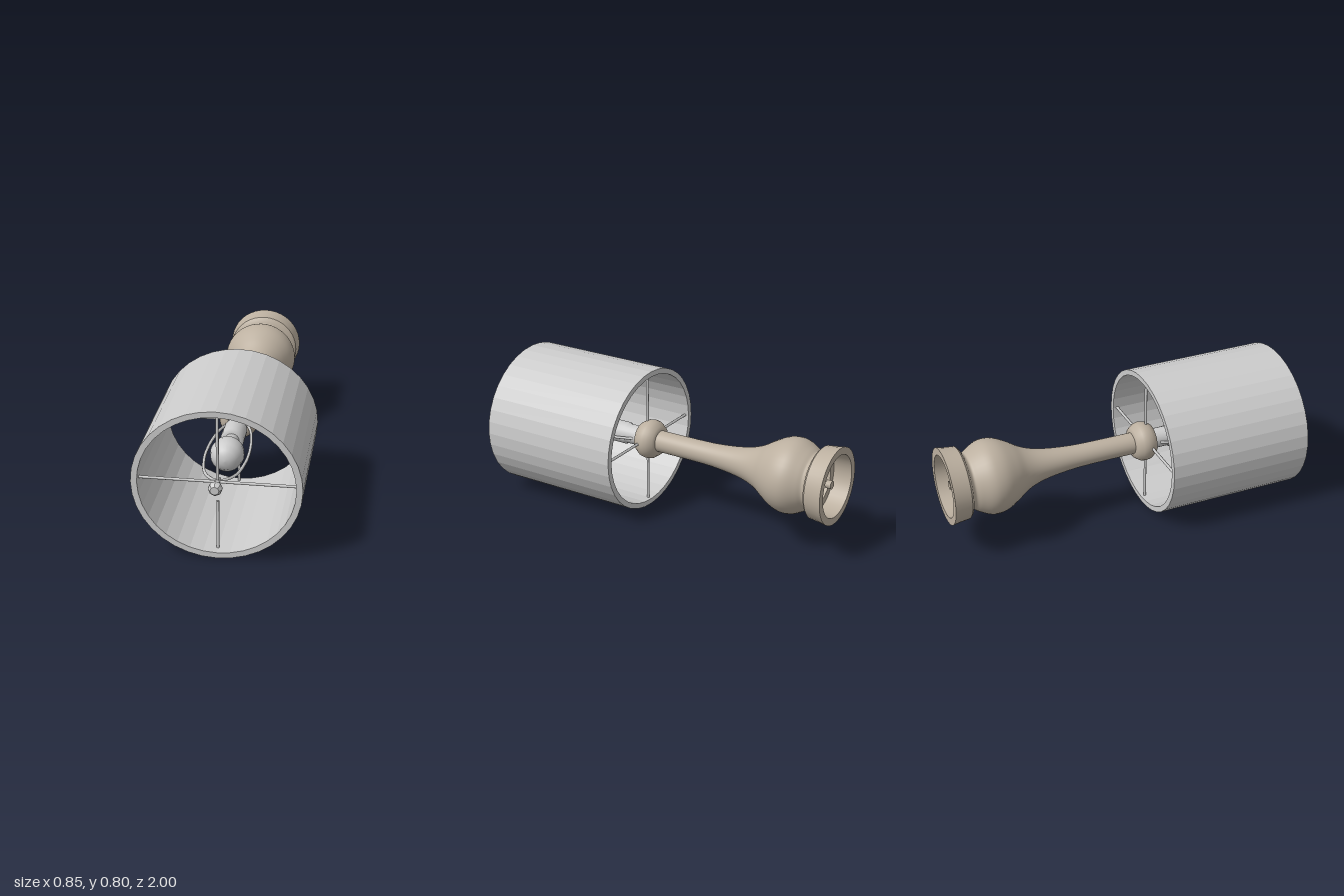
import * as THREE from 'three';

const wood = new THREE.MeshStandardMaterial({ color: 0xbcb0a0, side: THREE.DoubleSide });
const grey = new THREE.MeshStandardMaterial({ color: 0xcccccc, side: THREE.DoubleSide });
const facet = new THREE.MeshStandardMaterial({ color: 0xcccccc, side: THREE.DoubleSide, flatShading: true });

export function createModel() {
  const model = new THREE.Group();
  // The lamp is modelled upright along y, then laid down so its top faces +z
  const lamp = new THREE.Group();
  lamp.name = 'lamp';
  lamp.rotation.x = Math.PI / 2;
  lamp.position.y = 0.403;
  model.add(lamp);

  const add = (name, geometry, material) => {
    const mesh = new THREE.Mesh(geometry, material);
    mesh.name = name;
    lamp.add(mesh);
    return mesh;
  };
  const vectors = (pairs) => pairs.map(([r, y]) => new THREE.Vector2(r, y));
  const lathe = (name, pairs, material, sides = 40) =>
    add(name, new THREE.LatheGeometry(vectors(pairs), sides), material);
  // Thin rod between two points
  const rod = (name, a, b, r) => add(name, new THREE.TubeGeometry(
    new THREE.LineCurve3(new THREE.Vector3(...a), new THREE.Vector3(...b)), 1, r, 6), grey);

  // Foot ring with a hollow underside
  lathe('footRing', [[0.17, -1], [0.21, -1]], wood);
  lathe('footSide', [[0.21, -1], [0.203, -0.96], [0.197, -0.905]], wood);
  lathe('footTop', [[0.197, -0.905], [0.185, -0.893], [0.165, -0.885]], wood);
  lathe('footHollowWall', [[0.17, -1], [0.165, -0.9]], wood);
  lathe('footHollowStep', [[0.165, -0.9], [0.125, -0.9]], wood);
  lathe('footHollowCup', [[0.125, -0.9], [0.115, -0.84], [0.07, -0.8], [0, -0.79]], wood);

  // Bulbous body sweeping up into the slim column
  const body = new THREE.SplineCurve(vectors([
    [0.165, -0.885], [0.155, -0.868], [0.172, -0.84], [0.198, -0.79], [0.206, -0.745],
    [0.196, -0.69], [0.163, -0.625], [0.125, -0.565], [0.098, -0.5], [0.08, -0.42],
    [0.068, -0.32], [0.062, -0.22], [0.06, -0.05], [0.06, 0.09],
  ]));
  add('body', new THREE.LatheGeometry(body.getPoints(60), 40), wood);

  // Threaded rod and nut under the foot
  add('footRod', new THREE.CylinderGeometry(0.012, 0.012, 0.18, 8), wood).position.y = -0.88;
  add('footNut', new THREE.CylinderGeometry(0.025, 0.025, 0.03, 6), wood).position.y = -0.955;

  // Rounded collar where the column meets the shade
  lathe('collar', [[0.06, 0.08], [0.085, 0.085], [0.105, 0.115], [0.11, 0.14],
    [0.105, 0.17], [0.085, 0.2], [0.055, 0.212], [0, 0.212]], wood);

  // Bulb socket and bulb
  lathe('socket', [[0.055, 0.2], [0.055, 0.29], [0.062, 0.295], [0.062, 0.42], [0.04, 0.43], [0, 0.43]], grey, 20);
  lathe('bulb', [[0.038, 0.42], [0.042, 0.47], [0.062, 0.51], [0.082, 0.55], [0.088, 0.59],
    [0.08, 0.63], [0.055, 0.664], [0.025, 0.678], [0, 0.68]], grey, 24);

  // Harp wire looping around the bulb
  const harp = new THREE.CatmullRomCurve3([
    [-0.055, 0.23], [-0.085, 0.32], [-0.108, 0.5], [-0.105, 0.68], [-0.07, 0.83], [0, 0.89],
    [0.07, 0.83], [0.105, 0.68], [0.108, 0.5], [0.085, 0.32], [0.055, 0.23],
  ].map(([x, y]) => new THREE.Vector3(x, y, 0)));
  add('harp', new THREE.TubeGeometry(harp, 48, 0.008, 6), grey);

  // Slightly oval drum shade with a thin wall
  const shade = lathe('shade', [[0.925, 0.14], [1, 0.14], [1, 0.955], [0.925, 0.955], [0.925, 0.14]], facet, 36);
  shade.scale.set(0.424, 1, 0.398);

  // Spokes holding the shade at both ends
  for (const [name, y, inner] of [['upperSpoke', 0.9, 0], ['lowerSpoke', 0.165, 0.09]]) {
    for (const s of [-1, 1]) {
      rod(name, [s * inner, y, 0], [s * 0.397, y, 0], 0.008);
      const start = y > 0.5 && s > 0 ? 0.105 : inner;
      rod(name, [0, y, s * start], [0, y, s * 0.373], 0.008);
    }
  }

  // Finial on a short stem
  rod('finialStem', [0, 0.87, 0], [0, 0.96, 0], 0.014);
  lathe('finial', [[0, 0.945], [0.025, 0.95], [0.036, 0.965], [0.034, 0.985], [0.022, 1], [0, 1]], facet, 8);

  return model;
}
